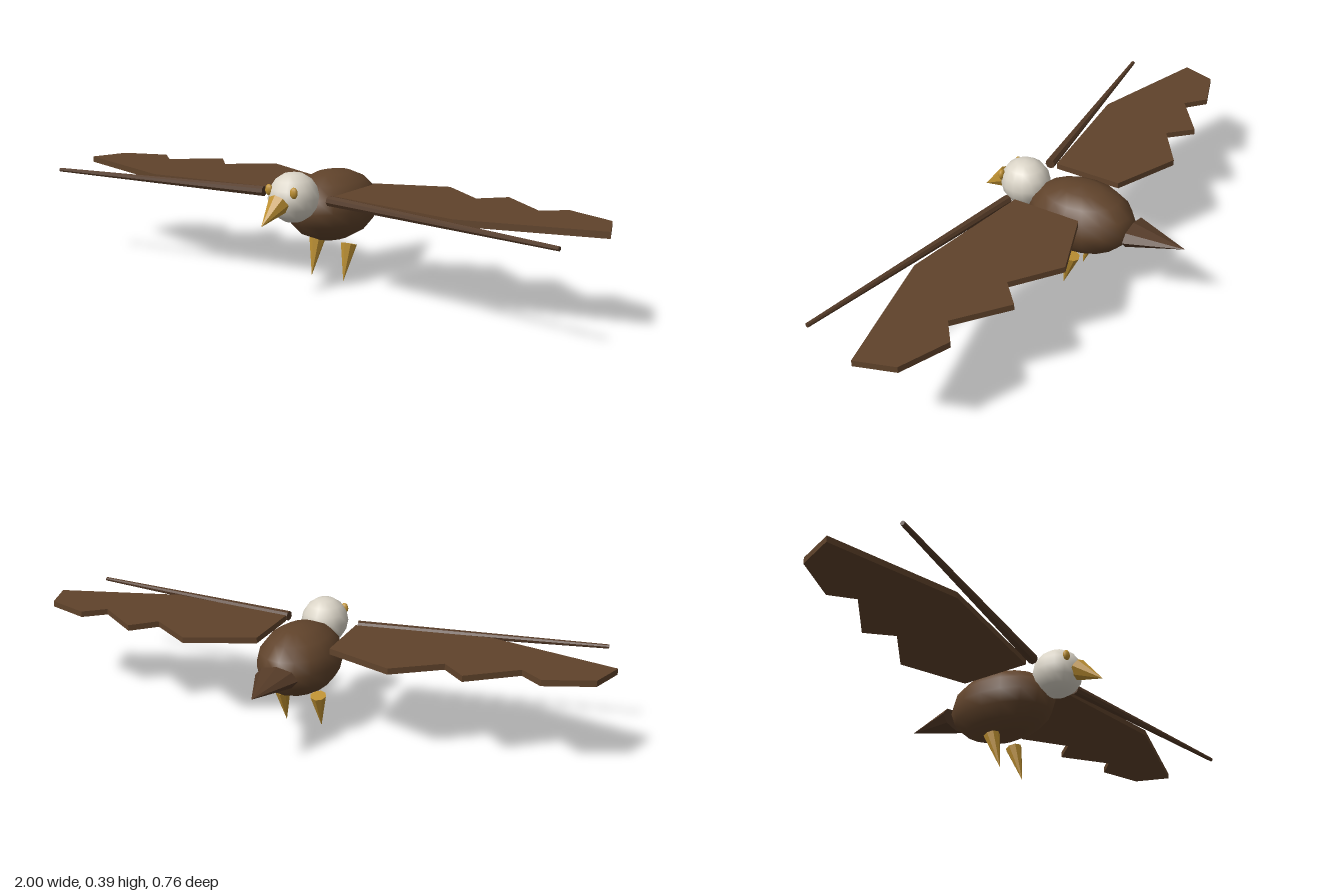
import * as THREE from 'three';

const flat = (color, name) => {
  const m = new THREE.MeshStandardMaterial({ color });
  m.name = name;
  return m;
};

export function createModel() {
  const bird = new THREE.Group();
  bird.name = 'bird';
  const brown = flat(0x60432b, 'brown plumage');
  const darkBrown = flat(0x543a27, 'dark brown feathers');
  const cream = flat(0xdad4c7, 'cream head');
  const gold = flat(0xbd9032, 'gold');

  const add = (name, geometry, material) => {
    const mesh = new THREE.Mesh(geometry, material);
    mesh.name = name;
    bird.add(mesh);
    return mesh;
  };

  // Smooth ellipsoid from a centre and three radii
  const ellipsoid = (name, centre, radii, material, w = 16, h = 8) => {
    const g = new THREE.SphereGeometry(1, w, h);
    g.scale(...radii);
    g.translate(...centre);
    return add(name, g, material);
  };

  // Faceted spike from a base centre to a tip; stretch widens it along x
  const spike = (name, base, tip, rBase, rTip, material, stretch = 1) => {
    const a = new THREE.Vector3(...base);
    const b = new THREE.Vector3(...tip);
    const dir = b.clone().sub(a);
    let g = new THREE.CylinderGeometry(rTip, rBase, dir.length(), 8);
    g.scale(stretch, 1, 1);
    g.applyQuaternion(new THREE.Quaternion().setFromUnitVectors(
      new THREE.Vector3(0, 1, 0), dir.normalize()));
    g.translate(...a.add(b).multiplyScalar(0.5).toArray());
    g = g.toNonIndexed();
    g.computeVertexNormals();
    return add(name, g, material);
  };

  ellipsoid('body', [0, 0.248, 0], [0.134, 0.117, 0.19], brown);
  ellipsoid('head', [0, 0.31, 0.217], [0.08, 0.081, 0.085], cream);
  spike('beak', [0, 0.302, 0.293], [0, 0.246, 0.382], 0.037, 0, gold);
  spike('tail', [0, 0.248, -0.193], [0, 0.248, -0.38], 0.037, 0, darkBrown, 2);

  // Wing outline in x and z, with a stepped trailing edge
  const outline = [
    [0.128, 0.176], [0.578, 0.235], [1.0, 0.118], [0.957, -0.005], [0.802, -0.064],
    [0.733, -0.005], [0.578, -0.123], [0.503, -0.048], [0.353, -0.155], [0.128, -0.064],
  ];

  for (const [side, s] of [['left', 1], ['right', -1]]) {
    const shape = new THREE.Shape(outline.map(([x, z]) => new THREE.Vector2(s * x, z)));
    const wing = new THREE.ExtrudeGeometry(shape, { depth: 0.02, bevelEnabled: false });
    wing.rotateX(Math.PI / 2);
    wing.translate(0, 0.321, 0);
    add(side + 'Wing', wing, brown);

    // Tapered rod ahead of the wing
    spike(side + 'LeadingFeather', [s * 0.128, 0.311, 0.203], [s * 0.943, 0.311, 0.328],
      0.017, 0.007, darkBrown);

    ellipsoid(side + 'Eye', [s * 0.048, 0.339, 0.28], [0.014, 0.018, 0.01], gold, 8, 8);
    spike(side + 'Leg', [s * 0.064, 0.122, 0], [s * 0.064, 0, 0.033], 0.0275, 0, gold);
  }

  return bird;
}
